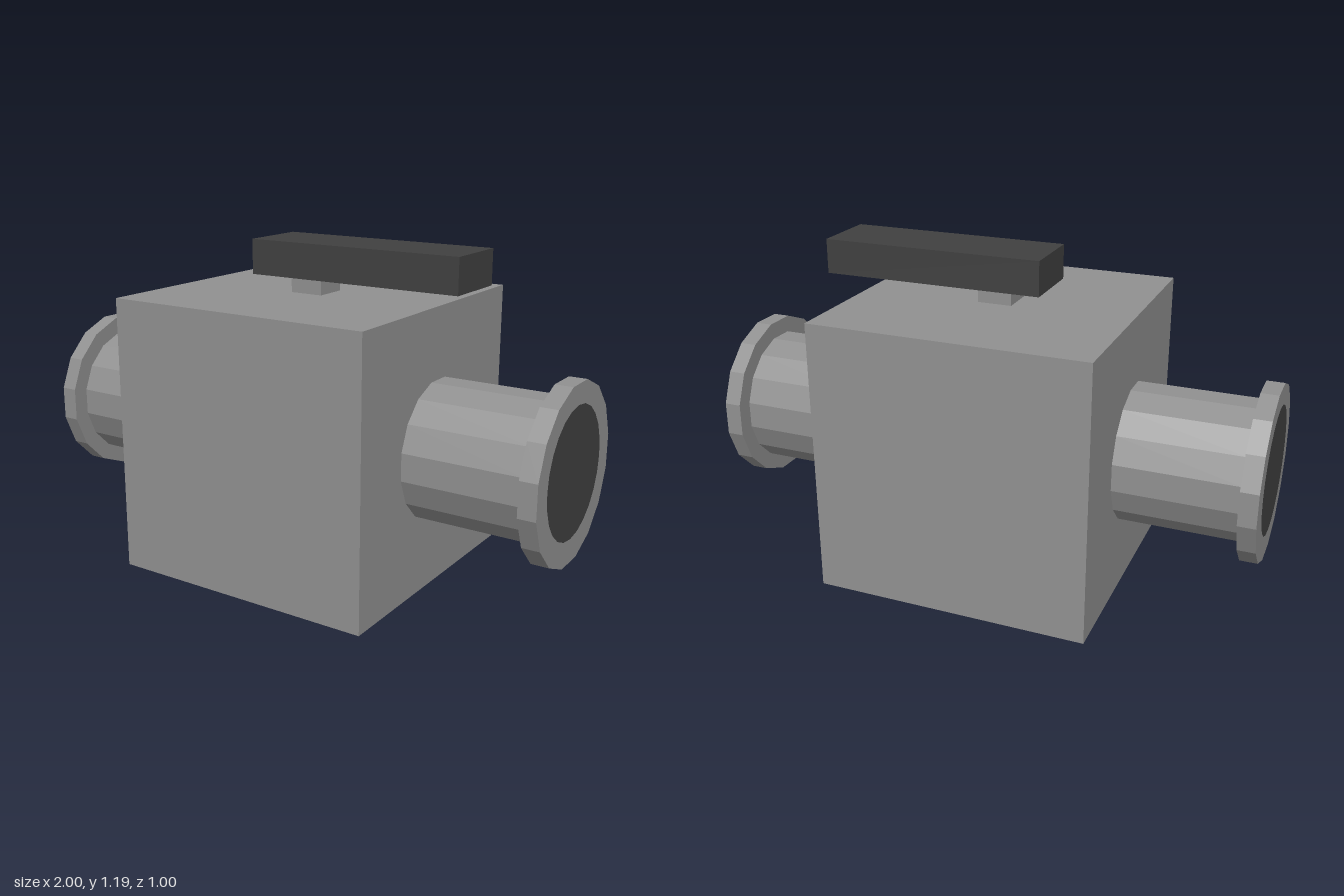
import * as THREE from 'three';

export function createModel() {
  const model = new THREE.Group();
  model.name = 'valve';

  const grey = new THREE.MeshStandardMaterial({ color: 0x909090, flatShading: true });
  grey.name = 'grey metal';
  const dark = new THREE.MeshStandardMaterial({ color: 0x404040, flatShading: true });
  dark.name = 'dark grey';

  const add = (name, geometry, material, x, y, z = 0) => {
    const mesh = new THREE.Mesh(geometry, material);
    mesh.name = name;
    mesh.position.set(x, y, z);
    model.add(mesh);
    return mesh;
  };

  // Sixteen-sided cylinder along x, with a flat side on top
  const tube = (radius, length) =>
    new THREE.CylinderGeometry(radius, radius, length, 16, 1, false, Math.PI / 16).rotateZ(Math.PI / 2);

  // Body, stem and lever
  add('body', new THREE.BoxGeometry(1, 1, 1), grey, 0, 0.5);
  add('stem', new THREE.BoxGeometry(0.125, 0.0625, 0.125), grey, 0, 1.03125);
  add('handle', new THREE.BoxGeometry(0.8125, 0.125, 0.25), dark, 0.21875, 1.125);

  // Pipe, flange and dark opening on each side
  for (const [side, s] of [['left', 1], ['right', -1]]) {
    add(side + 'Pipe', tube(0.25, 0.4375), grey, s * 0.71875, 0.5);
    add(side + 'Flange', tube(0.3125, 0.0625), grey, s * 0.96875, 0.5);
    const opening = add(side + 'Opening', new THREE.CircleGeometry(0.228, 24), dark, s * 1.001, 0.508, 0.004);
    opening.rotation.y = s * Math.PI / 2;
  }

  return model;
}
